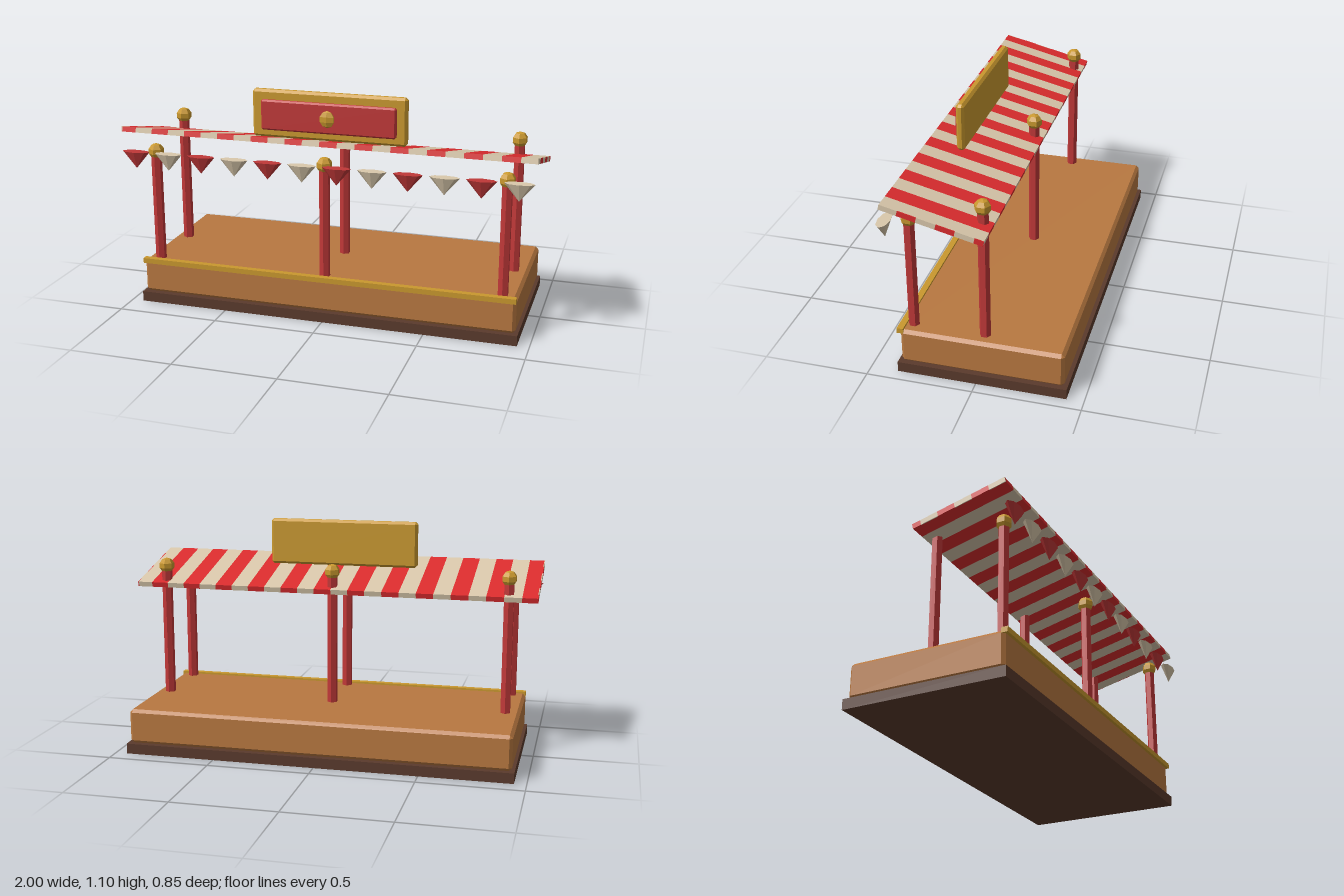
import * as THREE from 'three';
import { ConvexGeometry } from 'three/addons/geometries/ConvexGeometry.js';

const mat = (name, color) => {
  const m = new THREE.MeshStandardMaterial({ color });
  m.name = name;
  return m;
};

// Faceted copy with one normal per face
function faceted(geo) {
  const g = geo.index ? geo.toNonIndexed() : geo;
  g.computeVertexNormals();
  return g;
}

// Box whose edges are all cut by c
function chamferBox(w, h, d, c) {
  const points = [];
  for (const x of [-1, 1]) for (const y of [-1, 1]) for (const z of [-1, 1]) {
    for (let axis = 0; axis < 3; axis++) {
      const k = [0, 1, 2].map((i) => (i === axis ? 0 : c));
      points.push(new THREE.Vector3(x * (w / 2 - k[0]), y * (h / 2 - k[1]), z * (d / 2 - k[2])));
    }
  }
  return new ConvexGeometry(points);
}

export function createModel() {
  const root = new THREE.Group();
  root.name = 'marketStall';
  const wood = mat('wood', 0xb87840);
  const darkWood = mat('darkWood', 0x5a3a2c);
  const gold = mat('gold', 0xc9982e);
  const paintRed = mat('paintRed', 0xc03838);
  const clothRed = mat('clothRed', 0xdc2c2e);
  const cream = mat('cream', 0xd9c8ab);

  const add = (name, geo, material, x, y, z, parent = root) => {
    const mesh = new THREE.Mesh(geo, material);
    mesh.name = name;
    mesh.position.set(x, y, z);
    parent.add(mesh);
    return mesh;
  };
  const box = (w, h, d) => new THREE.BoxGeometry(w, h, d);

  // Platform
  add('plinth', box(1.885, 0.05, 0.79), darkWood, 0, 0.025, -0.025);
  add('platform', chamferBox(1.86, 0.17, 0.76, 0.015), wood, 0, 0.135, -0.025);
  add('frontTrim', box(1.86, 0.025, 0.03), gold, 0, 0.217, 0.355);

  // Hexagonal posts with faceted finials
  const knob = faceted(new THREE.SphereGeometry(0.039, 6, 5).rotateY(Math.PI / 6));
  const rows = [
    { name: 'front', z: 0.31, top: 0.76 },
    { name: 'back', z: -0.026, top: 0.863 },
  ];
  for (const { name, z, top } of rows) {
    const height = top - 0.2;
    const post = faceted(new THREE.CylinderGeometry(0.026, 0.026, height, 6));
    for (const x of [-0.86, 0, 0.86]) {
      add(name + 'Post', post, paintRed, x, 0.2 + height / 2, z);
      add(name + 'Finial', knob, gold, x, top + 0.013, z);
    }
  }

  // Sloping striped canopy
  const canopy = new THREE.Group();
  canopy.name = 'canopy';
  canopy.position.set(0, 0.837, 0.159);
  canopy.rotation.x = -0.236;
  root.add(canopy);
  const stripe = 0.0841, thick = 0.025, depth = 0.47, inner = 0.996;
  for (let k = -12; k < 12; k++) {
    const a = Math.max(k * stripe, -inner), b = Math.min((k + 1) * stripe, inner);
    add('canopyStripe', box(b - a, thick, depth), k % 2 ? cream : clothRed, (a + b) / 2, 0, 0, canopy);
  }
  // Striped plates closing both ends
  const cuts = [0.235, 0.153, 0.067, -0.02, -0.106, -0.193, -0.235];
  for (const side of [-1, 1]) {
    for (let i = 0; i < cuts.length - 1; i++) {
      add('canopyEnd', box(0.004, thick, cuts[i] - cuts[i + 1]), i % 2 ? clothRed : cream,
        side * 0.998, 0, (cuts[i] + cuts[i + 1]) / 2, canopy);
    }
  }

  // Row of flattened hanging pennants
  const pennant = faceted(new THREE.ConeGeometry(0.07, 0.083, 8).rotateX(Math.PI).scale(1, 1, 0.42));
  for (let i = 0; i < 12; i++) {
    add('pennant', pennant, i % 2 ? cream : paintRed, -0.925 + i * 0.1682, 0.746, 0.396);
  }

  // Sign board with raised panel and boss
  add('signBoard', chamferBox(0.756, 0.23, 0.04, 0.012), gold, 0, 0.984, 0.227);
  add('signPanel', chamferBox(0.66, 0.146, 0.03, 0.008), paintRed, 0, 0.98, 0.25);
  const boss = faceted(new THREE.SphereGeometry(0.041, 6, 5).rotateY(Math.PI / 6).scale(1, 1, 0.45));
  add('signBoss', boss, gold, 0, 0.98, 0.265);

  return root;
}
